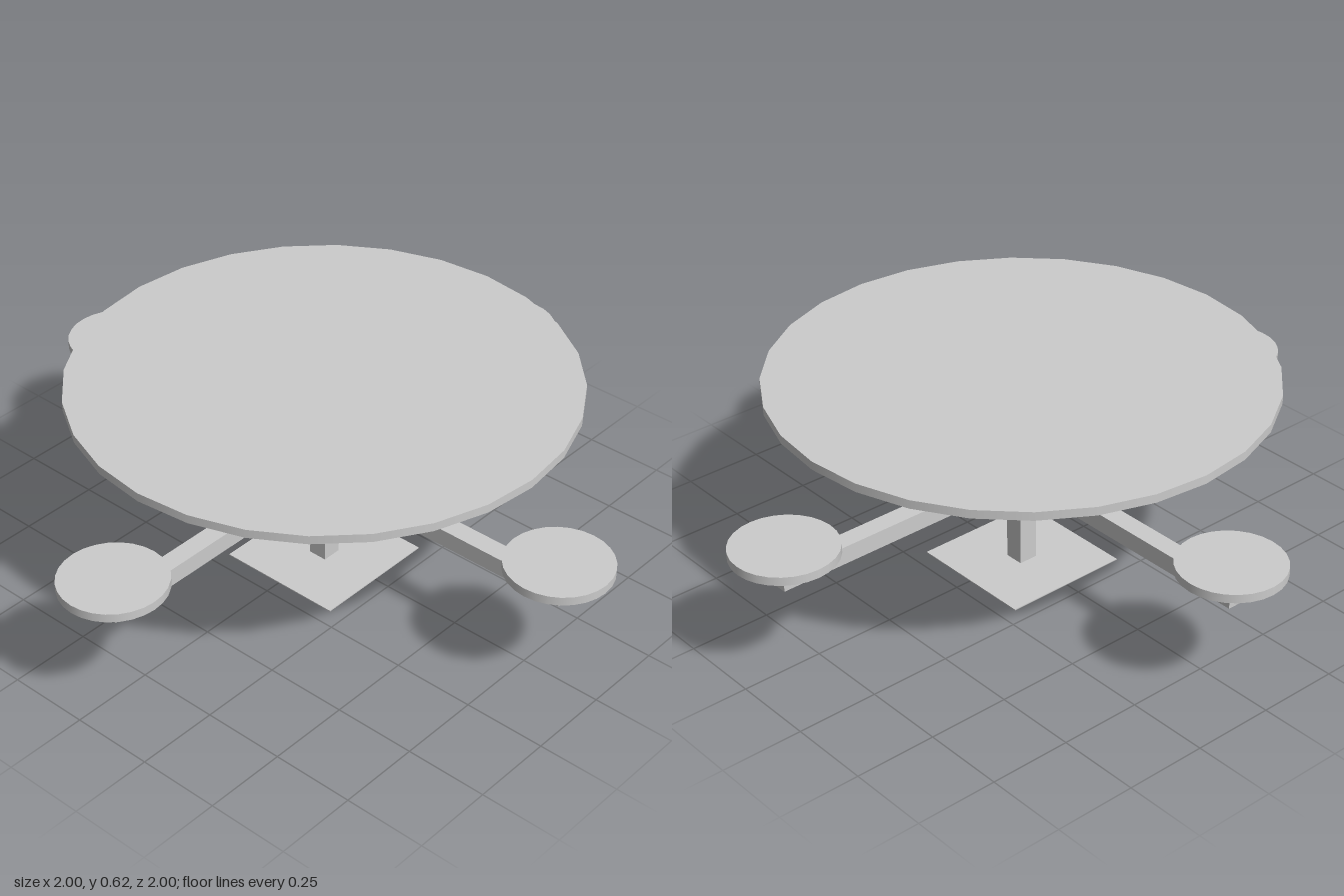
import * as THREE from 'three';

export function createModel() {
  const group = new THREE.Group();
  const mat = new THREE.MeshStandardMaterial({ color: 0xcccccc });
  const openMat = new THREE.MeshStandardMaterial({ color: 0xcccccc, side: THREE.DoubleSide });

  const add = (parent, name, geometry, x, y, z, material = mat) => {
    const mesh = new THREE.Mesh(geometry, material);
    mesh.name = name;
    mesh.position.set(x, y, z);
    parent.add(mesh);
    return mesh;
  };

  const half = 0.03; // half width of every square tube

  // Round top
  add(group, 'tableTop', new THREE.CylinderGeometry(0.74, 0.74, 0.026, 28), 0, 0.609, 0);

  // Hollow square pole, open at both ends
  const pole = new THREE.CylinderGeometry(half * Math.SQRT2, half * Math.SQRT2, 0.596, 4, 1, true)
    .rotateY(Math.PI / 4).toNonIndexed();
  pole.computeVertexNormals();
  add(group, 'pole', pole, 0, 0.298, 0, openMat);

  // Thin base plate with an opening under the pole
  const square = (path, s) => path.moveTo(-s, -s).lineTo(s, -s).lineTo(s, s).lineTo(-s, s).closePath();
  const plate = square(new THREE.Shape(), 0.2);
  plate.holes.push(square(new THREE.Path(), half));
  const plateGeo = new THREE.ExtrudeGeometry(plate, { depth: 0.003, bevelEnabled: false }).rotateX(-Math.PI / 2);
  add(group, 'basePlate', plateGeo, 0, 0, 0);

  // Triangular bracket profile under the top
  const wedge = new THREE.Shape()
    .moveTo(half, 0.475).lineTo(0.23, 0.596).lineTo(half, 0.596).closePath();
  const bracketGeo = new THREE.ExtrudeGeometry(wedge, { depth: half * 2, bevelEnabled: false })
    .translate(0, 0, -half);

  // Arm, upright, seat and bracket, repeated on four sides
  const reach = 0.873;
  const armGeo = new THREE.BoxGeometry(reach - half, 0.054, half * 2);
  const postGeo = new THREE.BoxGeometry(half * 2, 0.046, half * 2);
  const seatGeo = new THREE.CylinderGeometry(0.155, 0.155, 0.026, 28);
  for (let i = 0; i < 4; i++) {
    const side = new THREE.Group();
    side.name = 'seatArm' + (i + 1);
    side.rotation.y = i * Math.PI / 2;
    add(side, 'arm', armGeo, (reach + half) / 2, 0.306, 0);
    add(side, 'seatPost', postGeo, reach - half, 0.354, 0);
    add(side, 'seat', seatGeo, 0.845, 0.388, 0);
    add(side, 'bracket', bracketGeo, 0, 0, 0);
    group.add(side);
  }
  return group;
}
